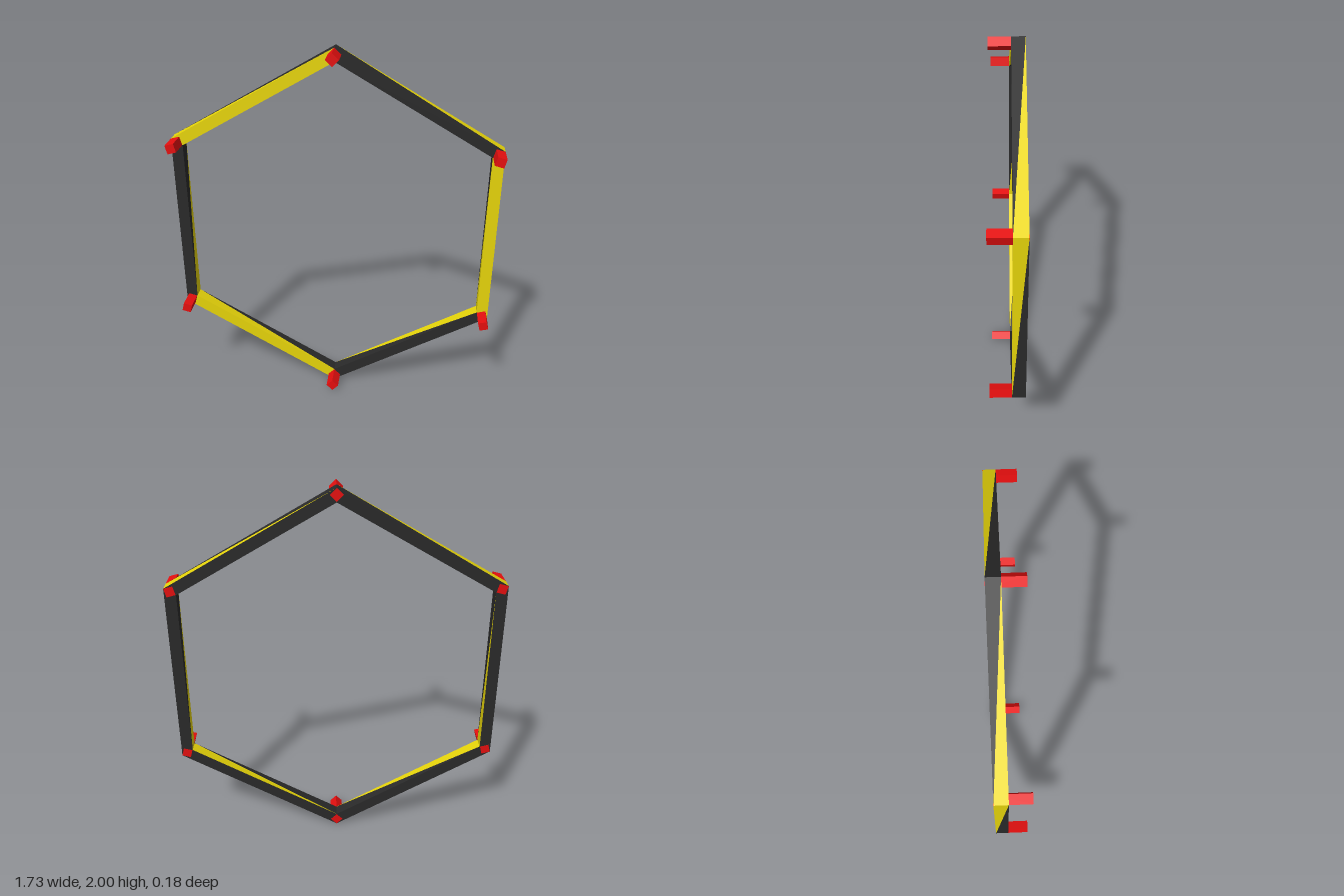
import * as THREE from 'three';

const SIDES = 6, OUTER = 1, INNER = 0.93, CENTER_Y = 1;
const FRONT = -0.02, BACK = -0.0885;
const PEG_SIZE = 0.048, PEG_RADIUS = 0.966, PEG_HALF = 0.0893;

// Ring corner: corner 0 is the lower one on the +x side, counting counterclockwise
function corner(i, radius, z) {
  const a = (i / SIDES) * Math.PI * 2 - Math.PI / 6;
  return [radius * Math.cos(a), CENTER_Y + radius * Math.sin(a), z];
}

function facetMesh(name, triangles, material) {
  const geometry = new THREE.BufferGeometry();
  geometry.setAttribute('position', new THREE.Float32BufferAttribute(triangles.flat(2), 3));
  geometry.computeVertexNormals();
  const mesh = new THREE.Mesh(geometry, material);
  mesh.name = name;
  return mesh;
}

export function createModel() {
  const model = new THREE.Group();
  model.name = 'hexagonFrame';
  const paint = (color) => new THREE.MeshStandardMaterial({ color, flatShading: true });
  const yellow = paint(0xe8d60a), black = paint(0x2a2a2a), red = paint(0xe60f0f);

  // Hexagonal ring: bars alternate in colour, side walls are split along a diagonal
  const yellowFaces = [], blackFaces = [];
  for (let i = 0; i < SIDES; i++) {
    const [main, other] = i % 2 ? [blackFaces, yellowFaces] : [yellowFaces, blackFaces];
    const j = i + 1;
    const of0 = corner(i, OUTER, FRONT), of1 = corner(j, OUTER, FRONT);
    const ob0 = corner(i, OUTER, BACK), ob1 = corner(j, OUTER, BACK);
    const if0 = corner(i, INNER, FRONT), if1 = corner(j, INNER, FRONT);
    const ib0 = corner(i, INNER, BACK), ib1 = corner(j, INNER, BACK);
    main.push([of0, of1, if1], [of0, if1, if0]);       // front face
    blackFaces.push([ob0, ib0, ib1], [ob0, ib1, ob1]); // back face
    main.push([of0, ob1, of1], [if0, if1, ib0]);       // wall halves along the front edge
    other.push([of0, ob0, ob1], [ib0, if1, ib1]);      // wall halves along the back edge
  }
  model.add(facetMesh('yellowRingFaces', yellowFaces, yellow));
  model.add(facetMesh('blackRingFaces', blackFaces, black));

  // Square pegs through the corners, each with one edge pointing outward
  const pegGeometry = new THREE.BoxGeometry(PEG_SIZE, PEG_SIZE, PEG_HALF * 2);
  for (let i = 0; i < SIDES; i++) {
    const peg = new THREE.Mesh(pegGeometry, red);
    peg.name = `cornerPeg${i + 1}`;
    peg.position.set(...corner(i, PEG_RADIUS, 0));
    peg.rotation.z = (i / SIDES) * Math.PI * 2 - Math.PI / 6 + Math.PI / 4;
    model.add(peg);
  }
  return model;
}
